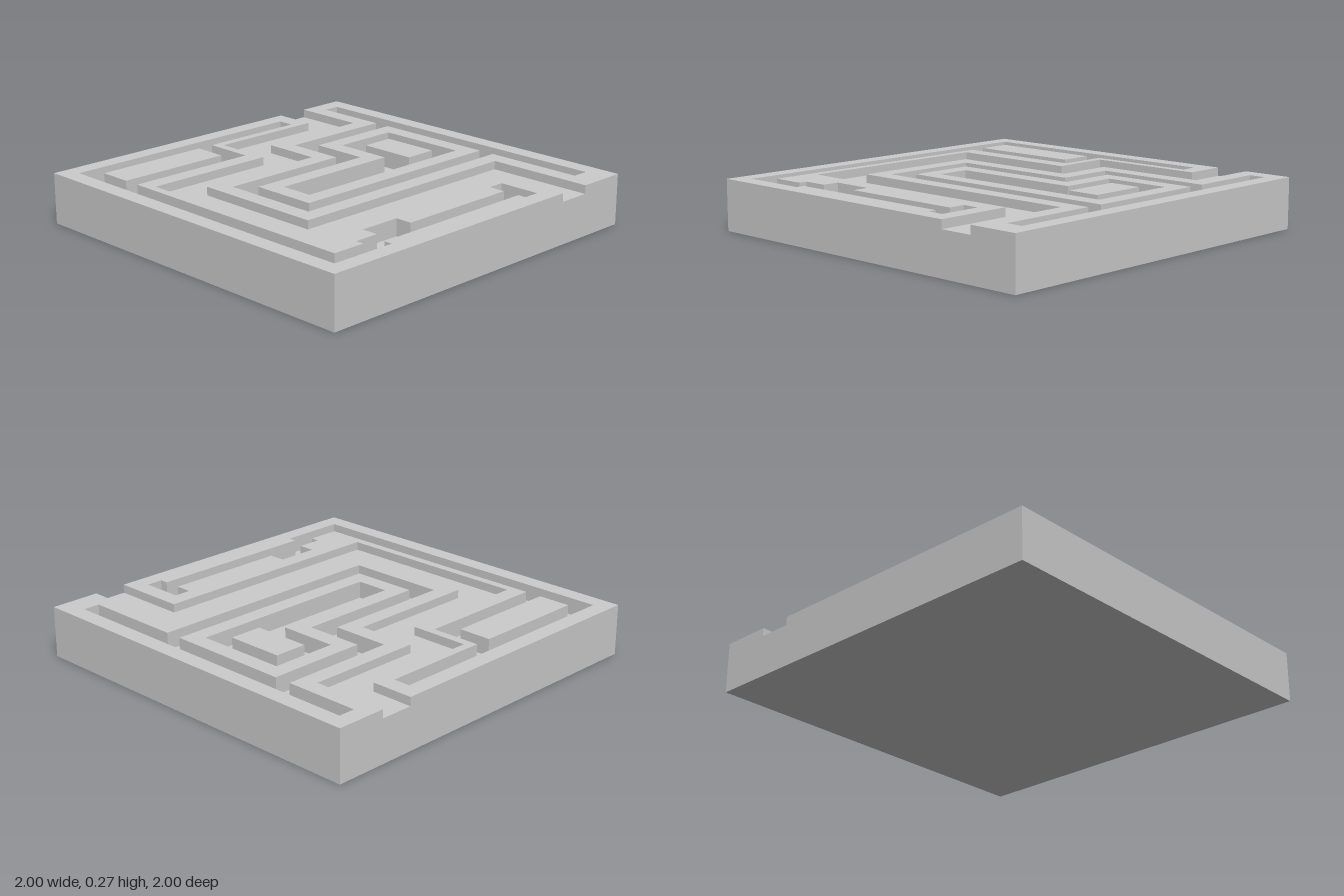
import * as THREE from 'three';
import { mergeGeometries } from 'three/addons/utils/BufferGeometryUtils.js';

// The tile is laid out on a 45 x 45 cell plan, 6 cells high.
const N = 45, CELL = 2 / N;
const TOP = 6, PATH = 5, FLOOR = 4;

const material = new THREE.MeshStandardMaterial({ color: 0xcccccc, flatShading: true });

// Plan points: x to the right, z to the front, turned counter-clockwise seen from above
function outline(...cells) {
  const pts = cells.map(([x, z]) => new THREE.Vector2(x * CELL - 1, 1 - z * CELL));
  return THREE.ShapeUtils.isClockWise(pts) ? pts.reverse() : pts;
}
const rect = (x0, z0, x1, z1) => outline([x0, z0], [x1, z0], [x1, z1], [x0, z1]);

// Horizontal surface facing up, with optional openings
function plate(pts, y, holes = []) {
  const shape = new THREE.Shape(pts);
  shape.holes = holes.map((h) => new THREE.Path(h));
  return new THREE.ShapeGeometry(shape).rotateX(-Math.PI / 2).translate(0, y * CELL, 0);
}

// Vertical band along an outline, facing outward, or inward for a recess
function wall(pts, y0, y1, inward = false) {
  const loop = inward ? [...pts].reverse() : pts;
  const height = (y1 - y0) * CELL;
  return mergeGeometries(loop.map((p, i) => {
    const q = loop[(i + 1) % loop.length];
    const d = q.clone().sub(p);
    return new THREE.PlaneGeometry(d.length(), height)
      .rotateY(d.angle())
      .translate((p.x + q.x) / 2, y0 * CELL + height / 2, -(p.y + q.y) / 2);
  }));
}

export function createModel() {
  const model = new THREE.Group();
  model.name = 'mazeTile';
  const add = (name, ...geometries) => {
    const mesh = new THREE.Mesh(mergeGeometries(geometries), material);
    mesh.name = name;
    model.add(mesh);
  };

  // Raised ground behind and in front of the winding path
  const back = outline([0, 0], [45, 0], [45, 6], [32, 6], [32, 36], [16, 36],
    [16, 20], [9, 20], [9, 6], [0, 6]);
  const front = outline([0, 10], [5, 10], [5, 24], [12, 24], [12, 40], [36, 40],
    [36, 10], [45, 10], [45, 45], [0, 45]);
  const path = outline([0, 6], [9, 6], [9, 20], [16, 20], [16, 36], [32, 36], [32, 6], [45, 6],
    [45, 10], [36, 10], [36, 40], [12, 40], [12, 24], [5, 24], [5, 10], [0, 10]);

  // Deep grooves and the islands standing in them
  const ringGroove = outline([2, 2], [42, 2], [42, 4], [30, 4], [30, 34], [18, 34],
    [18, 18], [11, 18], [11, 4], [2, 4]);
  const ringIsland = outline([13, 4], [28, 4], [28, 32], [20, 32], [20, 16], [13, 16]);
  const pit = outline([15, 6], [26, 6], [26, 30], [22, 30], [22, 14], [15, 14]);
  const pitIsland = rect(17, 8, 24, 12);
  const frontGroove = outline([2, 12], [4, 12], [4, 25], [10, 25], [10, 41], [41, 41],
    [41, 37], [40, 37], [40, 34], [38, 34], [38, 29], [40, 29], [40, 14], [38, 14],
    [38, 12], [43, 12], [43, 14], [42, 14], [42, 35], [43, 35], [43, 43], [2, 43]);
  const frontIsland = rect(4, 27, 8, 41);

  // Base block and sunken path
  const square = rect(0, 0, N, N);
  add('base', wall(square, 0, PATH), new THREE.PlaneGeometry(2, 2).rotateX(Math.PI / 2));
  add('path', plate(path, PATH));

  // Raised ground
  add('backGround', plate(back, TOP, [ringGroove]), wall(back, PATH, TOP));
  add('frontGround', plate(front, TOP, [frontGroove]), wall(front, PATH, TOP));

  // Grooves
  const groove = (name, edge, island) =>
    add(name, plate(edge, FLOOR, [island]), wall(edge, FLOOR, TOP, true));
  groove('ringGroove', ringGroove, ringIsland);
  groove('innerPit', pit, pitIsland);
  groove('frontGroove', frontGroove, frontIsland);

  // Islands
  const island = (name, edge, holes) =>
    add(name, plate(edge, TOP, holes), wall(edge, FLOOR, TOP));
  island('ringIsland', ringIsland, [pit]);
  island('pitIsland', pitIsland);
  island('frontIsland', frontIsland);

  return model;
}
